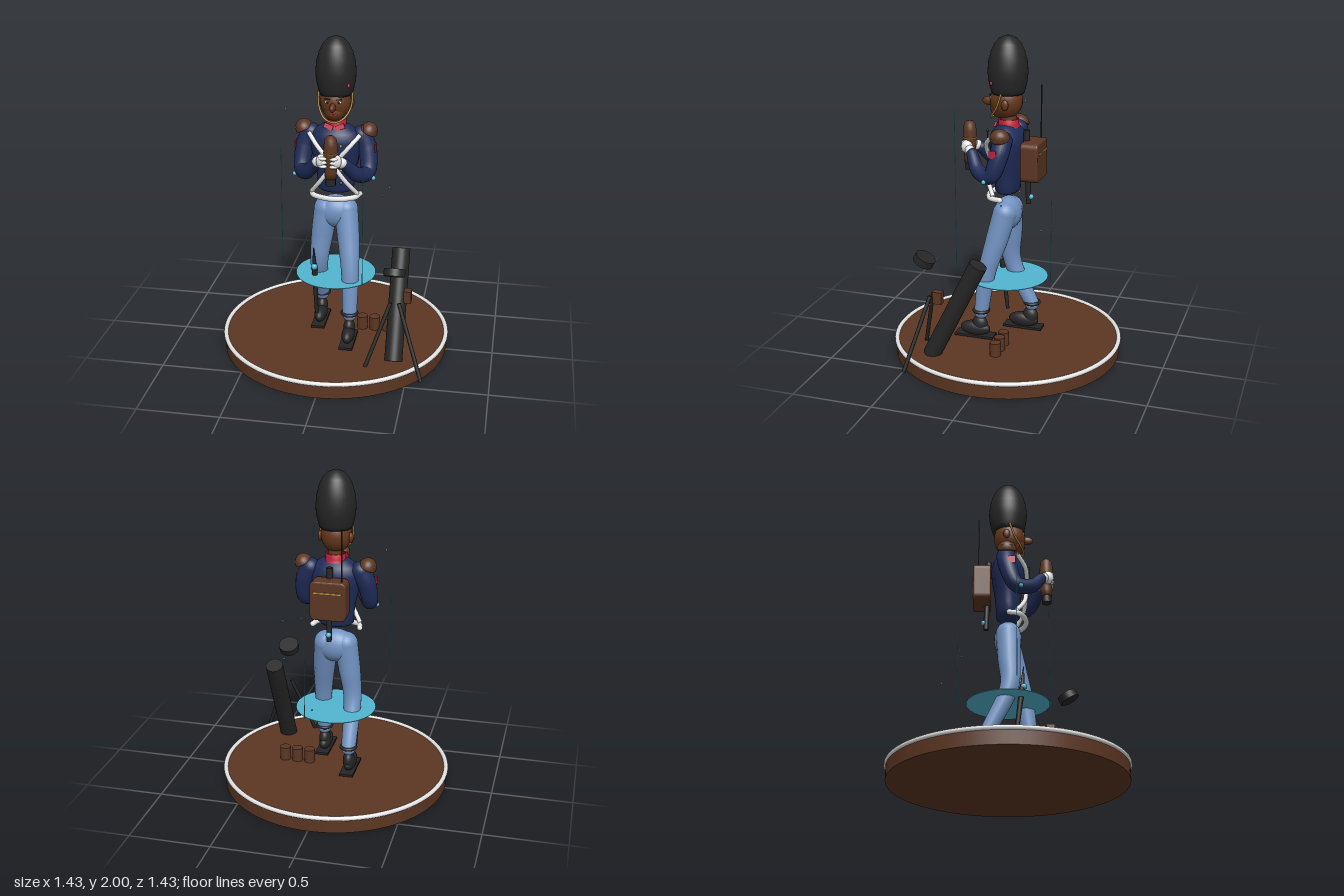
import * as THREE from 'three';

const mat = (name, color) => {
  const m = new THREE.MeshStandardMaterial({ color, side: THREE.DoubleSide });
  m.name = name;
  return m;
};
const V = (p) => new THREE.Vector3(p[0], p[1], p[2]);

export function createModel() {
  const root = new THREE.Group();
  root.name = 'toySoldier';
  const black = mat('black', 0x262626), brown = mat('brown', 0x5c3622), skin = mat('skin', 0x64371c);
  const navy = mat('navy', 0x1f2c58), blue = mat('trouserBlue', 0x7293c2), white = mat('white', 0xe6e6e6);
  const cyan = mat('cyan', 0x52b6d0), red = mat('red', 0xc01f3c), gold = mat('gold', 0xb8923a);

  const add = (name, geo, m, p = [0, 0, 0], s = [1, 1, 1], r = [0, 0, 0]) => {
    const mesh = new THREE.Mesh(geo, m);
    mesh.name = name;
    mesh.position.set(...p);
    mesh.scale.set(...s);
    mesh.rotation.set(...r);
    root.add(mesh);
    return mesh;
  };
  const ball = (name, m, p, s) => add(name, new THREE.SphereGeometry(1, 24, 16), m, p, s);
  const box = (name, m, p, s, r) => add(name, new THREE.BoxGeometry(...s), m, p, [1, 1, 1], r);
  const lathe = (name, m, pts, p, s) =>
    add(name, new THREE.LatheGeometry(pts.map((q) => new THREE.Vector2(q[0], q[1])), 40), m, p, s);
  // Straight rod between two points
  const rod = (name, m, a, b, r0, r1 = r0, sides = 20) => {
    const A = V(a), B = V(b), d = B.clone().sub(A);
    const mesh = add(name, new THREE.CylinderGeometry(r1, r0, d.length(), sides), m);
    mesh.position.copy(A).add(B).multiplyScalar(0.5);
    mesh.quaternion.setFromUnitVectors(new THREE.Vector3(0, 1, 0), d.normalize());
    return mesh;
  };
  const tube = (name, m, pts, r) =>
    add(name, new THREE.TubeGeometry(new THREE.CatmullRomCurve3(pts.map(V)), 40, r, 10), m);
  // Tapered limb through points [x, y, z, radius], with rounded ends
  const limb = (name, m, pts) => {
    const curve = new THREE.CatmullRomCurve3(pts.map(V)), n = 32, sides = 20;
    const geo = new THREE.TubeGeometry(curve, n, 1, sides), pos = geo.attributes.position, v = new THREE.Vector3();
    for (let i = 0; i <= n; i++) {
      const c = curve.getPointAt(i / n), t = curve.getUtoTmapping(i / n) * (pts.length - 1);
      const k = Math.min(Math.floor(t), pts.length - 2);
      const r = THREE.MathUtils.lerp(pts[k][3], pts[k + 1][3], t - k);
      for (let j = 0; j <= sides; j++) {
        const id = i * (sides + 1) + j;
        v.fromBufferAttribute(pos, id).sub(c).multiplyScalar(r).add(c);
        pos.setXYZ(id, v.x, v.y, v.z);
      }
    }
    add(name, geo, m);
    for (const p of [pts[0], pts[pts.length - 1]]) ball(name + 'End', m, p.slice(0, 3), [p[3], p[3], p[3]]);
  };

  // Round base with a pale rim
  add('base', new THREE.CylinderGeometry(0.705, 0.705, 0.095, 96), brown, [0, 0.0475, 0]);
  add('baseRim', new THREE.TorusGeometry(0.702, 0.014, 12, 96), white, [0, 0.094, 0], [1, 1, 1], [Math.PI / 2, 0, 0]);

  // Flat ring plate around the legs
  add('discPlate', new THREE.CylinderGeometry(0.25, 0.25, 0.004, 64), cyan, [0, 0.49, 0]);

  // Legs and shoes; left leg steps forward
  ball('pelvis', blue, [0, 0.905, 0], [0.125, 0.105, 0.085]);
  limb('leftLeg', blue, [[0.062, 0.92, 0, 0.075], [0.085, 0.75, 0.045, 0.069], [0.105, 0.55, 0.1, 0.056], [0.11, 0.27, 0.14, 0.045]]);
  limb('rightLeg', blue, [[-0.062, 0.92, 0, 0.075], [-0.085, 0.75, 0.005, 0.069], [-0.105, 0.56, 0.005, 0.056], [-0.11, 0.27, -0.125, 0.045]]);
  for (const [x, ankle, foot] of [[0.11, 0.14, 0.18], [-0.11, -0.125, -0.07]]) {
    add('legBand', new THREE.TorusGeometry(0.045, 0.011, 10, 32), black, [x, 0.28, ankle], [1, 1, 1], [Math.PI / 2, 0, 0]);
    ball('shoe', black, [x, 0.155, foot], [0.04, 0.048, 0.098]);
    ball('shoeAnkle', black, [x, 0.185, ankle + 0.01], [0.036, 0.06, 0.05]);
    box('sole', black, [x, 0.112, foot], [0.085, 0.014, 0.25]);
  }

  // Jacket
  lathe('jacket', navy, [[0, 1.045], [0.09, 1.046], [0.112, 1.065], [0.113, 1.12], [0.125, 1.2], [0.15, 1.3],
    [0.16, 1.37], [0.14, 1.425], [0.09, 1.46], [0.05, 1.475], [0, 1.476]], [0, 0, 0], [1, 1, 0.66]);
  lathe('collar', red, [[0.07, 1.452], [0.062, 1.47], [0.062, 1.5], [0.052, 1.5], [0.05, 1.455]], [0, 0, -0.005]);
  for (const s of [-1, 1]) {
    box('collarTab', red, [s * 0.035, 1.465, 0.062], [0.055, 0.03, 0.012], [-0.3, 0, s * 0.35]);
    // Arms reach forward to the shell
    limb('arm', navy, [[s * 0.155, 1.4, -0.015, 0.06], [s * 0.19, 1.32, -0.005, 0.058], [s * 0.2, 1.19, 0.045, 0.048],
      [s * 0.155, 1.2, 0.135, 0.045], [s * 0.085, 1.285, 0.2, 0.035]]);
    ball('cuff', white, [s * 0.07, 1.3, 0.22], [0.034, 0.032, 0.03]);
    ball('glove', white, [s * 0.045, 1.315, 0.247], [0.03, 0.042, 0.036]);
    for (let i = 0; i < 3; i++) ball('finger', white, [s * 0.032, 1.29 + i * 0.024, 0.272], [0.026, 0.011, 0.013]);
    ball('elbowStud', cyan, [s * 0.24, 1.162, 0.075], [0.014, 0.014, 0.014]);
    box('sleevePatch', red, [s * 0.243, 1.335, 0.018], [0.008, 0.048, 0.045]);
    // Shoulder pads
    const tilt = -s * 0.45;
    add('epaulette', new THREE.SphereGeometry(1, 28, 10, 0, Math.PI * 2, 0, Math.PI / 2), brown,
      [s * 0.195, 1.425, -0.012], [0.054, 0.058, 0.06], [0, 0, tilt]);
    add('epauletteBase', new THREE.CylinderGeometry(0.054, 0.054, 0.005, 28), brown,
      [s * 0.195, 1.425, -0.012], [1, 1, 1.1], [0, 0, tilt]);
    box('epauletteTrim', gold, [s * 0.243, 1.434, -0.012], [0.007, 0.007, 0.07], [0, 0, tilt]);
    // Crossed straps over the chest
    tube('crossStrap', white, [[s * 0.155, 1.42, 0.055], [s * 0.09, 1.35, 0.108], [0, 1.24, 0.112],
      [-s * 0.08, 1.13, 0.098], [-s * 0.14, 1.045, 0.05]], 0.014);
    for (let i = 0; i < 4; i++) ball('button', gold, [s * 0.045, 1.12 + i * 0.08, 0.082 + i * 0.006], [0.008, 0.008, 0.008]);
  }
  tube('beltFront', white, [[-0.148, 1.028, 0.005], [-0.125, 1.028, 0.07], [0, 1.025, 0.112], [0.125, 1.028, 0.07], [0.148, 1.028, 0.005]], 0.017);
  for (const s of [-1, 1]) ball('beltEnd', white, [s * 0.148, 1.028, 0.005], [0.017, 0.017, 0.017]);

  // Hand-held shell
  lathe('shell', brown, [[0, 1.21], [0.034, 1.21], [0.036, 1.25], [0.036, 1.3], [0.041, 1.35], [0.041, 1.41], [0.035, 1.45], [0.02, 1.468], [0, 1.472]], [0.01, 0, 0.24]);
  add('shellBand', new THREE.TorusGeometry(0.041, 0.004, 8, 32), gold, [0.01, 1.365, 0.24], [1, 1, 1], [Math.PI / 2, 0, 0]);
  add('shellTail', new THREE.CylinderGeometry(0.03, 0.03, 0.05, 24), black, [0.01, 1.19, 0.24]);
  rod('chestPin', black, [0, 1.3, 0.13], [0, 1.41, 0.13], 0.004);
  ball('chestPinTip', black, [0, 1.415, 0.13], [0.008, 0.01, 0.008]);

  // Head
  add('neck', new THREE.CylinderGeometry(0.045, 0.05, 0.1, 24), skin, [0, 1.5, -0.005]);
  ball('head', skin, [0, 1.61, 0.01], [0.093, 0.11, 0.1]);
  ball('jaw', skin, [0, 1.56, 0.045], [0.062, 0.058, 0.062]);
  ball('nose', skin, [0, 1.6, 0.118], [0.018, 0.027, 0.042]);
  box('mouth', red, [0, 1.552, 0.104], [0.032, 0.006, 0.006]);
  for (const s of [-1, 1]) {
    ball('ear', skin, [s * 0.094, 1.6, -0.01], [0.014, 0.032, 0.022]);
    ball('eye', white, [s * 0.035, 1.628, 0.096], [0.014, 0.009, 0.008]);
    ball('pupil', black, [s * 0.035, 1.628, 0.102], [0.007, 0.008, 0.005]);
    box('brow', black, [s * 0.036, 1.645, 0.1], [0.034, 0.006, 0.007], [0, s * 0.3, 0]);
  }
  tube('chinStrap', gold, [[-0.102, 1.67, 0.01], [-0.096, 1.585, 0.04], [-0.055, 1.522, 0.085], [0, 1.504, 0.1],
    [0.055, 1.522, 0.085], [0.096, 1.585, 0.04], [0.102, 1.67, 0.01]], 0.006);

  // Tall fur cap
  lathe('furCap', black, [[0, 1.655], [0.096, 1.655], [0.105, 1.68], [0.118, 1.74], [0.121, 1.79], [0.116, 1.85],
    [0.1, 1.91], [0.078, 1.955], [0.05, 1.985], [0.022, 1.998], [0, 2]], [0, 0, 0]);
  ball('capStud', red, [0.087, 1.725, 0.075], [0.01, 0.012, 0.01]);

  // Backpack with rounded edges, trim, antenna and a slung club
  const packShape = new THREE.Shape();
  const w = 0.1, h = 0.11, c = 0.025;
  packShape.moveTo(-w + c, -h).lineTo(w - c, -h).quadraticCurveTo(w, -h, w, -h + c).lineTo(w, h - c)
    .quadraticCurveTo(w, h, w - c, h).lineTo(-w + c, h).quadraticCurveTo(-w, h, -w, h - c).lineTo(-w, -h + c)
    .quadraticCurveTo(-w, -h, -w + c, -h);
  add('backpack', new THREE.ExtrudeGeometry(packShape, { depth: 0.09, bevelEnabled: true, bevelThickness: 0.01, bevelSize: 0.01, bevelSegments: 3 }),
    brown, [0, 1.258, -0.207]);
  box('backpackTrim', gold, [0, 1.31, -0.219], [0.17, 0.008, 0.006]);
  rod('antenna', black, [-0.08, 1.36, -0.185], [-0.08, 1.7, -0.185], 0.004);
  rod('backClub', black, [0.01, 0.98, -0.135], [0.01, 1.44, -0.12], 0.016, 0.02);
  ball('backClubKnob', cyan, [0.01, 1.025, -0.15], [0.017, 0.017, 0.017]);

  // Scabbard beside the right leg
  rod('scabbard', black, [-0.118, 0.21, 0.04], [-0.122, 0.55, 0.08], 0.011, 0.018);
  rod('scabbardTip', black, [-0.122, 0.55, 0.08], [-0.125, 0.68, 0.09], 0.014, 0.003);
  ball('scabbardKnob', cyan, [-0.122, 0.555, 0.09], [0.02, 0.02, 0.02]);

  // Mortar with bipod, loose muzzle ring and sight box
  const mx = 0.415;
  rod('mortarBarrel', black, [mx, 0.09, 0.355], [mx, 0.705, 0.05], 0.055, 0.055, 32);
  rod('muzzleRing', black, [mx, 0.68, 0.402], [mx, 0.72, 0.38], 0.064, 0.064, 32);
  for (const s of [-1, 1]) rod('bipodLeg', black, [mx + s * 0.025, 0.48, 0.35], [mx + s * 0.18, 0.03, 0.47], 0.012);
  box('sightBox', brown, [0.485, 0.5, 0.28], [0.045, 0.075, 0.055]);

  // Spare rounds standing on the base
  for (let i = 0; i < 3; i++) add('spareRound', new THREE.CylinderGeometry(0.034, 0.034, 0.085, 24), brown, [0.168 + i * 0.08, 0.138, -0.025]);

  // Fine upright wires and floating specks
  for (const [x, z, y0, y1] of [[0.205, 0.265, 0.54, 1.58], [-0.33, 0.045, 0.54, 1.31], [0.12, -0.31, 0.53, 1.05]])
    rod('wire', cyan, [x, y0, z], [x, y1, z], 0.002, 0.002, 6);
  for (const p of [[-0.31, 1.54, -0.015], [0.32, 1.055, -0.06], [0.25, 0.905, -0.285], [0.185, 1.11, -0.13], [0.05, 0.64, -0.4], [0.06, 0.865, -0.295]])
    ball('speck', cyan, p, [0.006, 0.006, 0.006]);

  return root;
}
